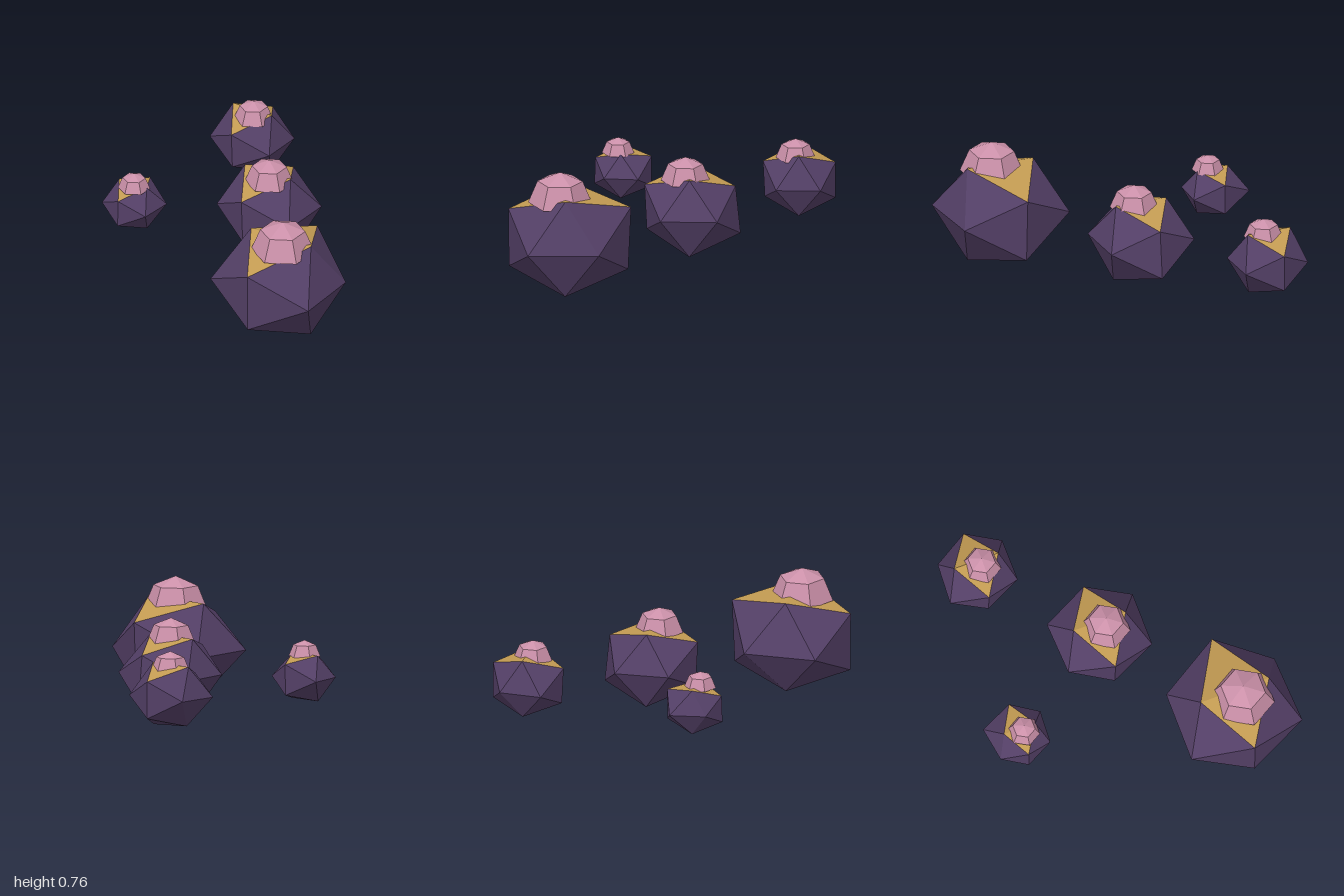
import * as THREE from 'three';

const purple = new THREE.MeshStandardMaterial({ color: 0x533f66 });
purple.name = 'darkPurple';
const gold = new THREE.MeshStandardMaterial({ color: 0xc39b52 });
gold.name = 'ochre';
const pink = new THREE.MeshStandardMaterial({ color: 0xcb90a9, side: THREE.DoubleSide });
pink.name = 'dustyPink';

// Twelve corners of a regular icosahedron; its first two faces share the top edge
const T = (1 + Math.sqrt(5)) / 2;
const CORNERS = [
  [-1, T, 0], [1, T, 0], [-1, -T, 0], [1, -T, 0],
  [0, -1, T], [0, 1, T], [0, -1, -T], [0, 1, -T],
  [T, 0, -1], [T, 0, 1], [-T, 0, -1], [-T, 0, 1],
];
const FACES = [
  0, 5, 1, 0, 1, 7,
  0, 11, 5, 0, 7, 10, 0, 10, 11, 1, 5, 9, 5, 11, 4, 11, 10, 2, 10, 7, 6, 7, 1, 8,
  3, 9, 4, 3, 4, 2, 3, 2, 6, 3, 6, 8, 3, 8, 9, 4, 9, 5, 2, 4, 11, 6, 2, 10, 8, 6, 7, 9, 8, 1,
];
const SQUASH = 0.84;

// Rough stone: each corner is pushed in or out by its own factor
function stoneGeometry(radius, bumps) {
  const points = CORNERS.flatMap((c, i) => {
    const v = new THREE.Vector3(...c).setLength(radius * bumps[i]);
    return [v.x, v.y * SQUASH, v.z];
  });
  const indexed = new THREE.BufferGeometry();
  indexed.setAttribute('position', new THREE.Float32BufferAttribute(points, 3));
  indexed.setIndex(FACES);
  const geo = indexed.toNonIndexed();
  geo.computeVertexNormals();
  geo.addGroup(0, 6, 1); // two ochre faces on top
  geo.addGroup(6, FACES.length - 6, 0);
  return geo;
}

// Six-sided faceted dome with a corner towards the front
function capGeometry(radius) {
  const geo = new THREE.SphereGeometry(radius, 6, 2, 0, Math.PI * 2, 0, Math.PI / 2).toNonIndexed();
  geo.rotateY(Math.PI / 6);
  geo.computeVertexNormals();
  return geo;
}

const STONES = [
  { name: 'largeStone', x: 0.575, z: 0.635, r: 0.435,
    bumps: [0.98, 1.01, 0.92, 1, 0.975, 0.985, 1.04, 1.09, 0.94, 0.995, 1, 1.01] },
  { name: 'middleStone', x: -0.045, z: -0.115, r: 0.335,
    bumps: [0.98, 0.99, 1.02, 1.09, 0.96, 1.01, 1.1, 0.99, 1.01, 1.005, 1, 0.95] },
  { name: 'backStone', x: -0.62, z: -0.775, r: 0.27,
    bumps: [1.03, 1.04, 0.92, 1, 0.95, 1, 0.98, 0.98, 0.98, 0.98, 0.91, 0.985] },
  { name: 'smallStone', x: -0.75, z: 0.345, r: 0.22,
    bumps: [0.9, 0.9, 0.93, 0.93, 0.9, 0.87, 1, 1.01, 0.96, 0.89, 1.06, 0.88] },
];

export function createModel() {
  const model = new THREE.Group();
  model.name = 'stoneCluster';
  for (const { name, x, z, r, bumps } of STONES) {
    const group = new THREE.Group();
    group.name = name;
    group.position.set(x, 0.313, z);

    const body = new THREE.Mesh(stoneGeometry(r, bumps), [purple, gold]);
    body.name = 'stoneBody';

    // Dome set slightly off centre on top of the stone
    const cap = new THREE.Mesh(capGeometry(r * 0.46), pink);
    cap.name = 'domeCap';
    cap.position.set(r * 0.1, r * 0.57, r * 0.09);

    group.add(body, cap);
    model.add(group);
  }
  return model;
}
